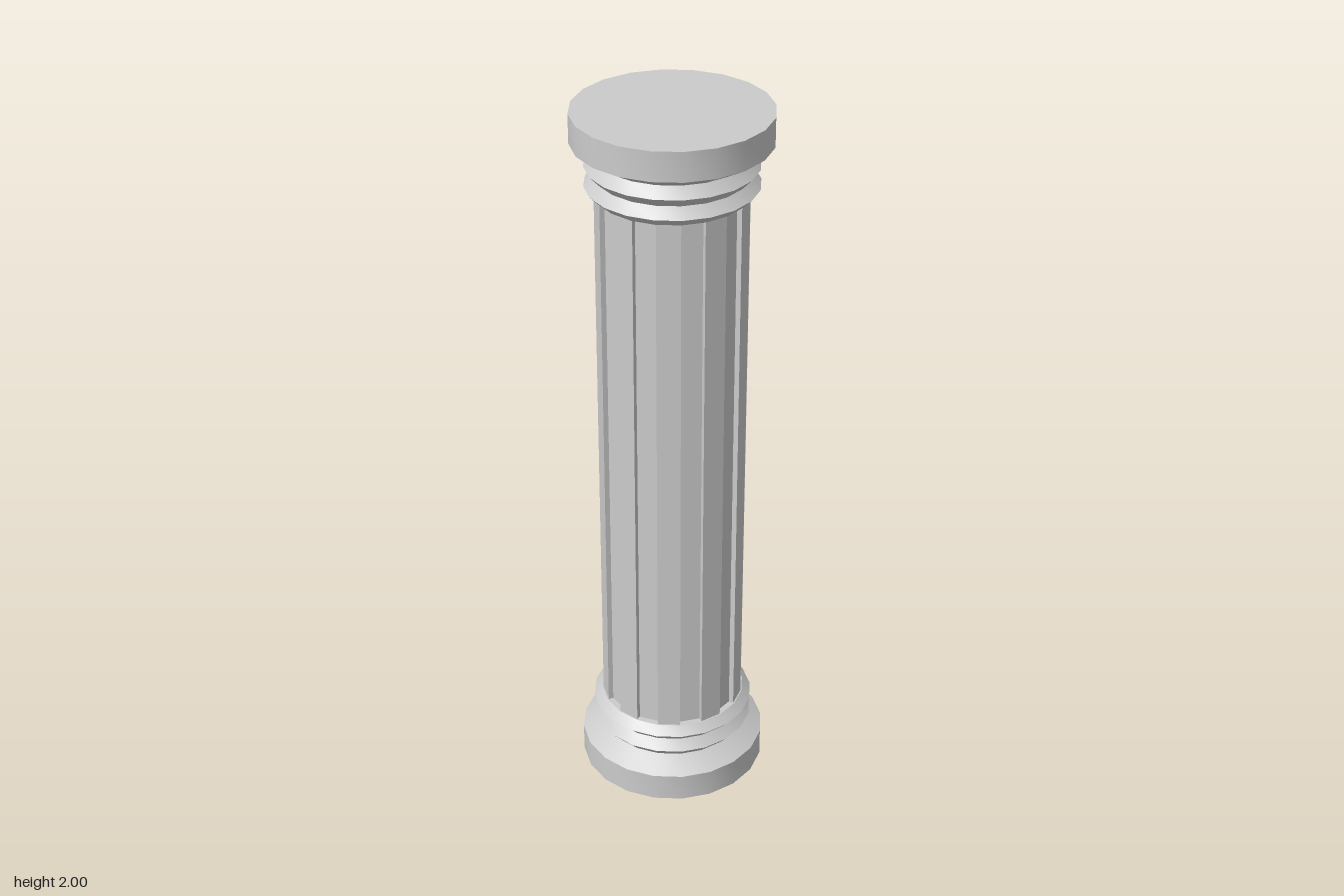
import * as THREE from 'three';
import { toCreasedNormals } from 'three/addons/utils/BufferGeometryUtils.js';

const SIDES = 20;
const HEIGHT = 2;
const MOULDING = 0.22; // height of the base and of the capital

// Plinth, sloped shoulder and two pointed rings, listed from the ground up
const PROFILE = [
  [0, 0], [0.26, 0], [0.26, 0.08], [0.2, 0.115],
  [0.225, 0.143], [0.2, 0.17], [0.226, 0.197], [0.203, MOULDING], [0, MOULDING],
];

function lathe(points) {
  const geometry = new THREE.LatheGeometry(points.map(([r, y]) => new THREE.Vector2(r, y)), SIDES);
  return toCreasedNormals(geometry, Math.PI / 6);
}

// Every second facet of the shaft is sunk between short radial walls
function shaftGeometry(outer, inner) {
  const points = [];
  for (let i = 0; i < SIDES; i++) {
    const radius = i % 2 ? outer : inner;
    for (const k of [i, i + 1]) {
      const angle = (k / SIDES) * Math.PI * 2;
      points.push(new THREE.Vector2(radius * Math.sin(angle), -radius * Math.cos(angle)));
    }
  }
  const geometry = new THREE.ExtrudeGeometry(new THREE.Shape(points), {
    depth: HEIGHT - 2 * MOULDING,
    bevelEnabled: false,
  });
  return geometry.rotateX(-Math.PI / 2).translate(0, MOULDING, 0);
}

export function createModel() {
  const group = new THREE.Group();
  group.name = 'column';
  const smooth = new THREE.MeshStandardMaterial({ color: 0xcccccc });
  const faceted = new THREE.MeshStandardMaterial({ color: 0xcccccc, flatShading: true });

  const add = (name, geometry, material) => {
    const mesh = new THREE.Mesh(geometry, material);
    mesh.name = name;
    group.add(mesh);
  };

  add('base', lathe(PROFILE), smooth);
  add('shaft', shaftGeometry(0.2, 0.186), faceted);
  // The capital is the base turned upside down
  add('capital', lathe(PROFILE.map(([r, y]) => [r, HEIGHT - y]).reverse()), smooth);

  return group;
}
